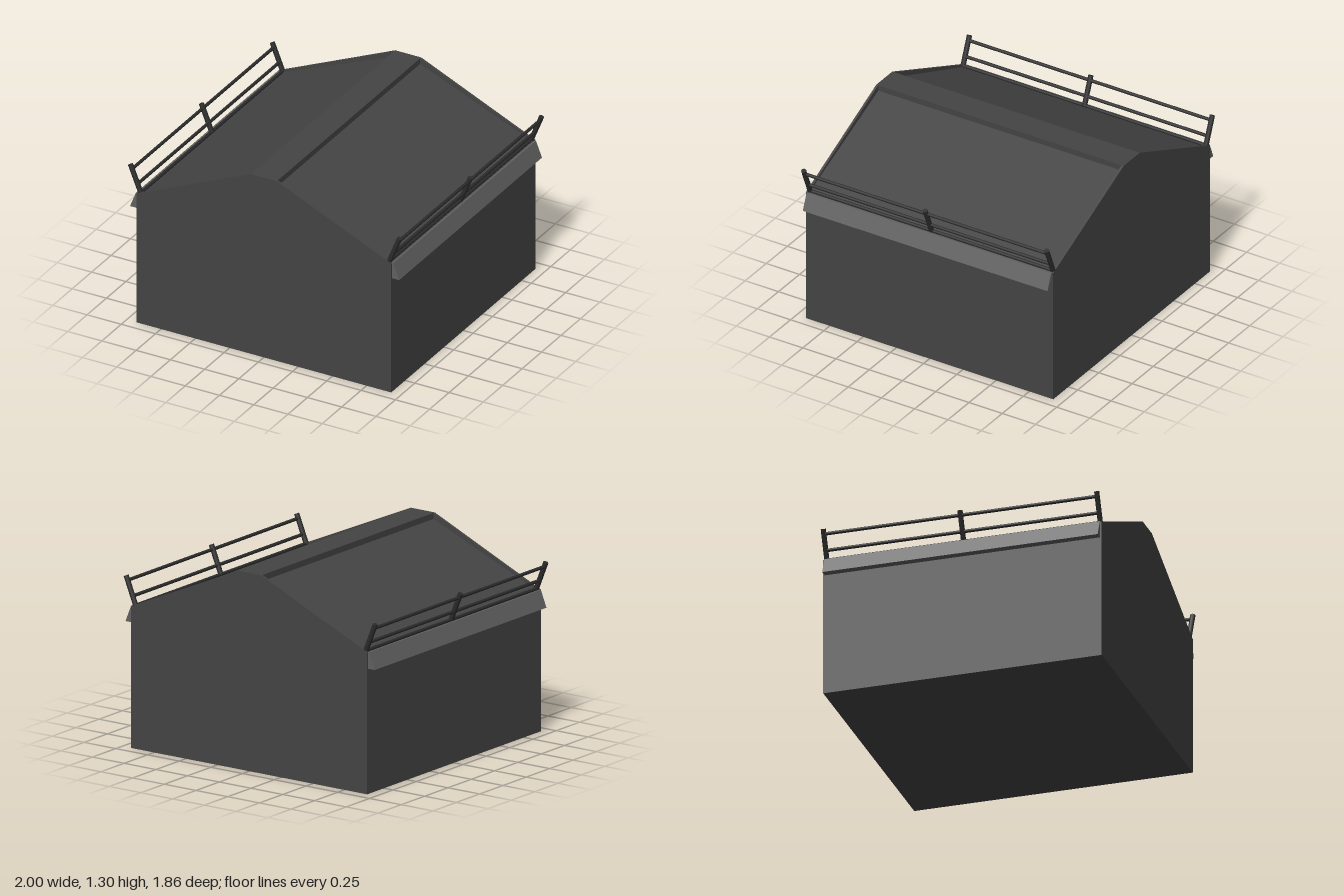
import * as THREE from 'three';

const wallMat = new THREE.MeshStandardMaterial({ color: 0x444444, flatShading: true });
const awningMat = new THREE.MeshStandardMaterial({ color: 0x606060, flatShading: true });
const railMat = new THREE.MeshStandardMaterial({ color: 0x2c2c2c });

const HALF_W = 0.93, HALF_D = 0.93, EAVE = 0.935, RIDGE = 1.305, RIDGE_HALF = 0.095, LIP = 0.015;

// Extrudes an x/y outline from z0 to z1
function prism(name, points, z0, z1, material) {
  const shape = new THREE.Shape(points.map(([x, y]) => new THREE.Vector2(x, y)));
  const geometry = new THREE.ExtrudeGeometry(shape, { depth: z1 - z0, bevelEnabled: false });
  geometry.translate(0, 0, z0);
  const mesh = new THREE.Mesh(geometry, material);
  mesh.name = name;
  return mesh;
}

// Round bar between two points
function bar(name, a, b, radius) {
  const dir = b.clone().sub(a);
  const mesh = new THREE.Mesh(new THREE.CylinderGeometry(radius, radius, dir.length(), 12), railMat);
  mesh.position.copy(a).add(b).multiplyScalar(0.5);
  mesh.quaternion.setFromUnitVectors(new THREE.Vector3(0, 1, 0), dir.normalize());
  mesh.name = name;
  return mesh;
}

// Completes a right-hand outline with its mirror image
const mirrored = (half) => [...half, ...half.map(([x, y]) => [-x, y]).reverse()];

export function createModel() {
  const group = new THREE.Group();
  group.name = 'house';

  // Body with sunken roof slopes and a raised ridge
  const inner = HALF_D - LIP;
  group.add(prism('body', mirrored([
    [HALF_W, 0], [HALF_W, 0.92], [RIDGE_HALF, 1.265], [RIDGE_HALF, RIDGE],
  ]), -inner, inner, wallMat));

  // Gable walls standing slightly proud of the roof
  const gable = mirrored([[HALF_W, 0], [HALF_W, EAVE], [RIDGE_HALF, RIDGE]]);
  group.add(prism('frontGable', gable, inner, HALF_D, wallMat));
  group.add(prism('backGable', gable, -HALF_D, -inner, wallMat));

  for (const [side, s] of [['left', 1], ['right', -1]]) {
    // Sloping eave along the wall top
    group.add(prism(side + 'Eave', [
      [s * 0.925, 0.825], [s * 0.982, 0.825], [s * 0.938, EAVE], [s * 0.925, EAVE],
    ], -0.92, 0.92, awningMat));

    // Outward leaning railing: t runs from foot to top of the posts
    const railing = new THREE.Group();
    railing.name = side + 'Railing';
    const foot = new THREE.Vector2(0.907, 0.94), top = new THREE.Vector2(0.982, 1.125);
    const at = (t, z) => {
      const p = foot.clone().lerp(top, t);
      return new THREE.Vector3(s * p.x, p.y, z);
    };
    for (const z of [-0.913, 0, 0.913]) railing.add(bar('post', at(0, z), at(1, z), 0.017));
    for (const t of [0, 0.31, 0.84]) railing.add(bar('rail', at(t, -0.913), at(t, 0.913), 0.011));
    group.add(railing);
  }
  return group;
}
